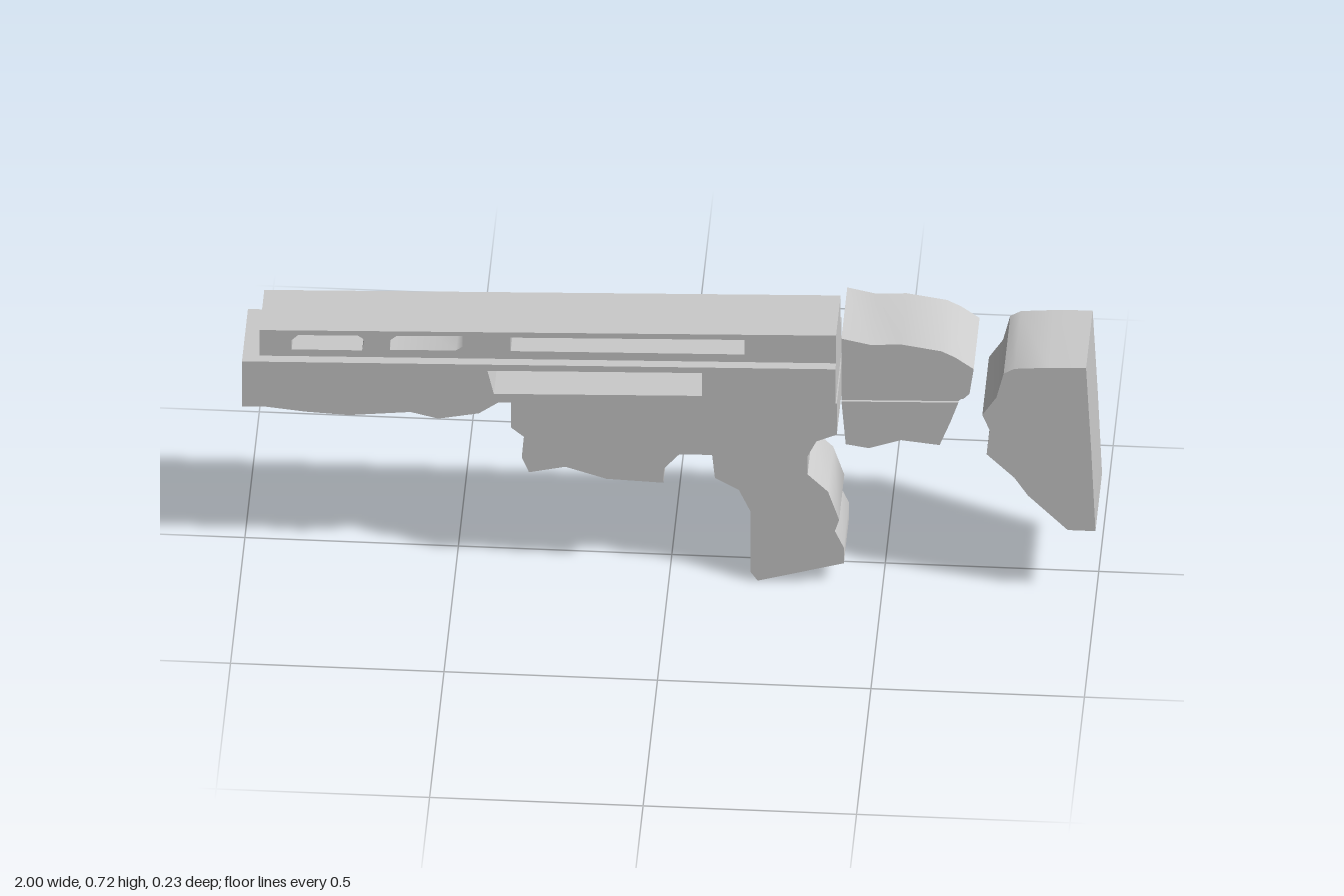
import * as THREE from 'three';
import { toCreasedNormals } from 'three/addons/utils/BufferGeometryUtils.js';

const material = new THREE.MeshStandardMaterial({ color: 0xcccccc });
const points = (list) => list.map(([x, y]) => new THREE.Vector2(x, y));

// Side profile extruded evenly to both sides of z = 0, with optional through slots
function slab(name, halfWidth, outline, slots = []) {
  const shape = new THREE.Shape(points(outline));
  for (const slot of slots) shape.holes.push(new THREE.Path(points(slot)));
  const geometry = new THREE.ExtrudeGeometry(shape, { depth: halfWidth * 2, bevelEnabled: false });
  geometry.translate(0, 0, -halfWidth);
  const mesh = new THREE.Mesh(toCreasedNormals(geometry, 0.7), material);
  mesh.name = name;
  return mesh;
}

export function createModel() {
  const model = new THREE.Group();
  model.name = 'bullpupBody';

  model.add(
    // Narrow top rail with three slots
    slab('topRail', 0.08,
      [[-0.96, 0.58], [0.39, 0.628], [0.39, 0.71], [-0.96, 0.66]],
      [
        [[-0.885, 0.608], [-0.72, 0.613], [-0.715, 0.645], [-0.73, 0.655], [-0.87, 0.65], [-0.885, 0.635]],
        [[-0.655, 0.617], [-0.5, 0.624], [-0.485, 0.635], [-0.485, 0.666], [-0.64, 0.658], [-0.655, 0.645]],
        [[-0.372, 0.628], [0.175, 0.645], [0.175, 0.687], [-0.372, 0.667]],
      ]),
    // Long main body with one side slot
    slab('mainBody', 0.104,
      [[-1, 0.585], [-1, 0.455], [-0.945, 0.457], [-0.85, 0.447], [-0.75, 0.442], [-0.605, 0.458],
        [-0.54, 0.442], [-0.445, 0.462], [-0.4, 0.495], [-0.37, 0.497], [0.39, 0.527], [0.39, 0.63]],
      [[[-0.41, 0.52], [0.078, 0.538], [0.078, 0.604], [-0.425, 0.586]]]),
    // Lower housing in front of and above the grip
    slab('lowerHousing', 0.098,
      [[-0.37, 0.497], [-0.37, 0.42], [-0.34, 0.395], [-0.345, 0.335], [-0.328, 0.293], [-0.243, 0.313],
        [-0.147, 0.283], [-0.013, 0.278], [-0.013, 0.318], [0.024, 0.362], [0.324, 0.37],
        [0.345, 0.415], [0.393, 0.437], [0.393, 0.527]]),
    // Hand grip
    slab('grip', 0.09,
      [[0.1, 0.362], [0.107, 0.292], [0.163, 0.26], [0.19, 0.2], [0.19, 0.025], [0.207, 0],
        [0.409, 0.06], [0.409, 0.105], [0.388, 0.152], [0.398, 0.185], [0.372, 0.265],
        [0.324, 0.313], [0.324, 0.37]]),
    // Rear housing: two halves around a shallow groove
    slab('rearHousingUpper', 0.102,
      [[0.404, 0.548], [0.69, 0.558], [0.704, 0.573], [0.714, 0.645], [0.67, 0.677], [0.638, 0.693],
        [0.543, 0.708], [0.473, 0.703], [0.404, 0.718]]),
    slab('rearHousingGroove', 0.094, [[0.404, 0.535], [0.678, 0.545], [0.69, 0.558], [0.404, 0.548]]),
    slab('rearHousingLower', 0.1,
      [[0.404, 0.535], [0.414, 0.412], [0.468, 0.403], [0.543, 0.43], [0.634, 0.42], [0.66, 0.49],
        [0.678, 0.545]]),
    // Separate butt stock
    slab('buttStock', 0.115,
      [[0.785, 0.645], [0.768, 0.575], [0.735, 0.523], [0.752, 0.48], [0.745, 0.41], [0.81, 0.345],
        [0.842, 0.295], [0.935, 0.2], [1, 0.2], [0.99, 0.435], [0.978, 0.67], [0.89, 0.667], [0.81, 0.66]]),
  );
  return model;
}
